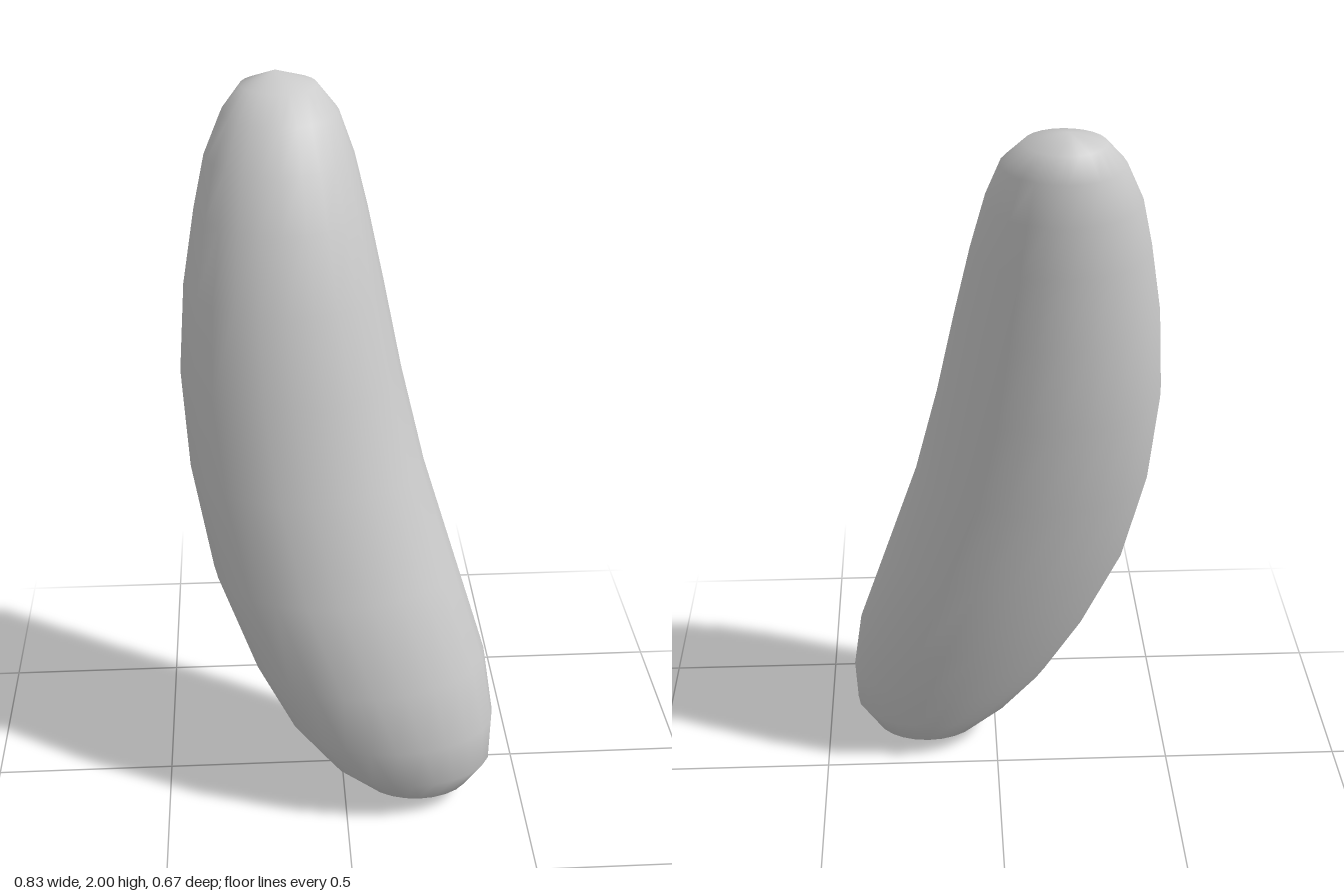
import * as THREE from 'three';

// Horizontal cross-sections: height, x min, x max, z min, z max
const SECTIONS = [
  [0.02, 0.12, 0.27, 0.09, 0.205],
  [0.06, 0.05, 0.355, 0.03, 0.26],
  [0.14, -0.045, 0.41, -0.01, 0.305],
  [0.27, -0.15, 0.415, -0.055, 0.33],
  [0.46, -0.25, 0.388, -0.123, 0.335],
  [0.72, -0.35, 0.307, -0.193, 0.298],
  [1.0, -0.403, 0.22, -0.25, 0.24],
  [1.26, -0.42, 0.158, -0.293, 0.2],
  [1.49, -0.403, 0.112, -0.317, 0.158],
  [1.68, -0.37, 0.072, -0.33, 0.1],
  [1.81, -0.34, 0.04, -0.335, 0.04],
  [1.91, -0.295, 0.003, -0.327, -0.025],
  [1.97, -0.245, -0.05, -0.305, -0.105],
];
const BOTTOM_TIP = [0.18, 0, 0.16];
const TOP_TIP = [-0.155, 2, -0.225];
const SIDES = 24;

// Skins elliptical rings and closes both ends with a shared tip vertex
function skinEllipses(sections, bottom, top, sides) {
  const positions = [];
  const index = [];
  for (const [y, x0, x1, z0, z1] of sections) {
    for (let j = 0; j < sides; j++) {
      const a = (j / sides) * Math.PI * 2;
      positions.push(
        (x0 + x1) / 2 + ((x1 - x0) / 2) * Math.cos(a),
        y,
        (z0 + z1) / 2 + ((z1 - z0) / 2) * Math.sin(a)
      );
    }
  }
  const last = (sections.length - 1) * sides;
  const bottomTip = sections.length * sides;
  const topTip = bottomTip + 1;
  positions.push(...bottom, ...top);

  for (let j = 0; j < sides; j++) {
    const k = (j + 1) % sides;
    for (let r = 0; r < last; r += sides) {
      index.push(r + j, r + sides + j, r + k);
      index.push(r + k, r + sides + j, r + sides + k);
    }
    index.push(bottomTip, j, k);
    index.push(last + j, topTip, last + k);
  }

  const geometry = new THREE.BufferGeometry();
  geometry.setAttribute('position', new THREE.Float32BufferAttribute(positions, 3));
  geometry.setIndex(index);
  geometry.computeVertexNormals();
  return geometry;
}

export function createModel() {
  const group = new THREE.Group();
  group.name = 'bean';

  // Single curved, leaning body with rounded ends
  const body = new THREE.Mesh(
    skinEllipses(SECTIONS, BOTTOM_TIP, TOP_TIP, SIDES),
    new THREE.MeshStandardMaterial({ color: 0xcccccc })
  );
  body.name = 'beanBody';
  group.add(body);
  return group;
}
